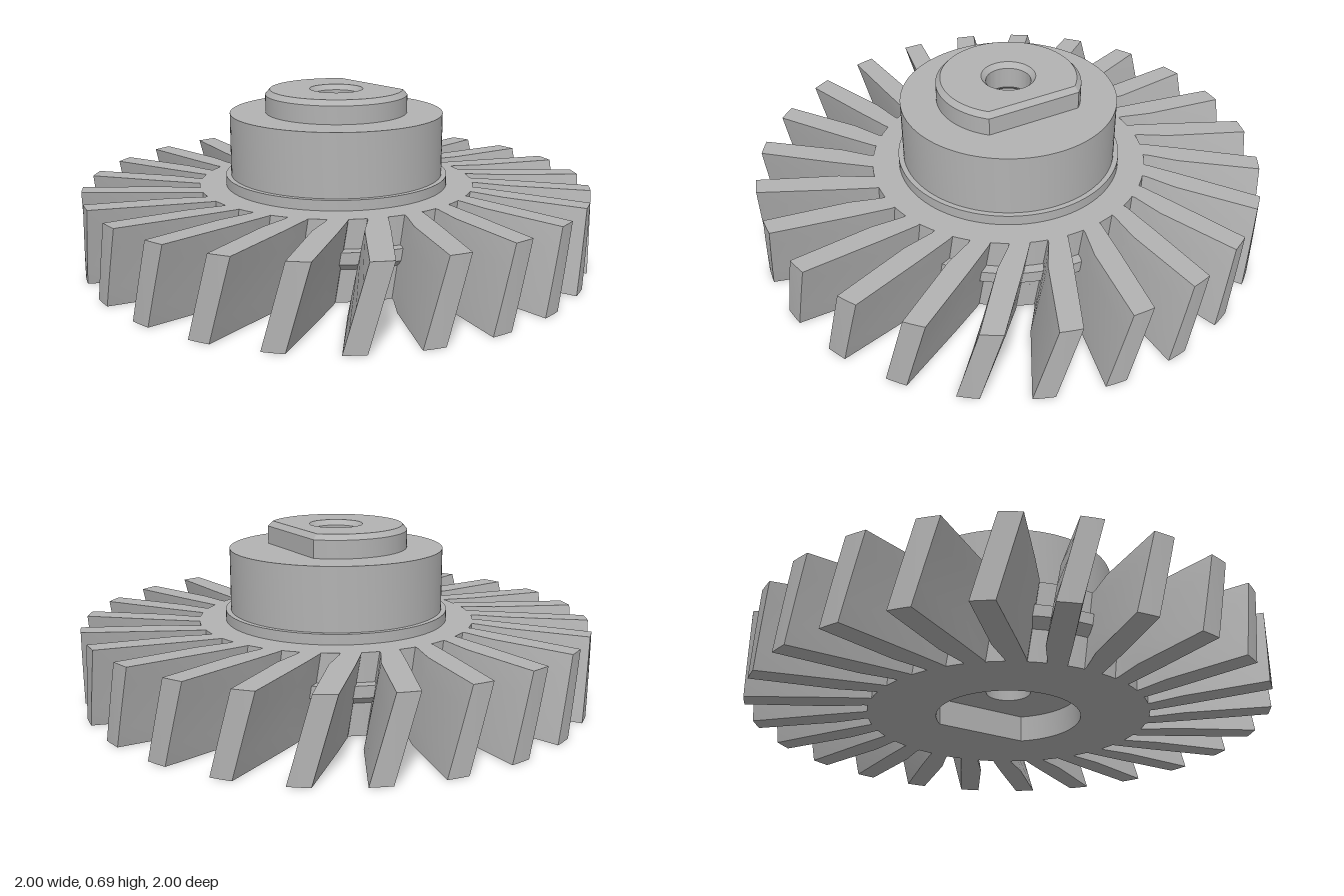
import * as THREE from 'three';
import { toCreasedNormals } from 'three/addons/utils/BufferGeometryUtils.js';

const DEG = Math.PI / 180;
const BLADES = 24;
const DISC_H = 0.31;      // height of disc and blades
const HUB_R = 0.545;      // radius where the blades start
const TWIST = 4.9 * DEG;  // lean of each blade from top to bottom

const grey = new THREE.MeshStandardMaterial({ color: 0xb2b2b2 });
grey.name = 'grey metal';

function part(name, geometry) {
  const mesh = new THREE.Mesh(toCreasedNormals(geometry, 0.5), grey);
  mesh.name = name;
  return mesh;
}

const lathe = (points) =>
  new THREE.LatheGeometry(points.map(([r, y]) => new THREE.Vector2(r, y)), 96);

// Extrude upward: shape +y becomes -z
const extrudeUp = (shape, options) =>
  new THREE.ExtrudeGeometry(shape, { curveSegments: 64, bevelEnabled: false, ...options })
    .rotateX(-Math.PI / 2);

// Circle with one flat on its back side
function flattedCircle(Type, r, flat) {
  const a = Math.asin(flat / r);
  const shape = new Type();
  shape.absarc(0, 0, r, Math.PI - a, Math.PI * 2 + a, false);
  shape.closePath();
  return shape;
}

function circle(Type, r) {
  const shape = new Type();
  shape.absarc(0, 0, r, 0, Math.PI * 2, false);
  return shape;
}

// Bent blade outline, as [radius, clockwise degrees], twisted over its height
function bladeGeometry() {
  const outline = [
    [0.535, -9.8], [0.56, -9.3], [0.7, -5.5], [1, -0.7], [1, 0.9],
    [1, 2.4], [1, 4], [0.68, 1.8], [0.56, -1.5], [0.535, -1.8],
  ].map(([r, a]) => new THREE.Vector2(r * Math.sin(a * DEG), r * Math.cos(a * DEG)));
  const geometry = new THREE.ExtrudeGeometry(new THREE.Shape(outline), {
    depth: DISC_H, steps: 4, bevelEnabled: false,
  });
  const p = geometry.attributes.position;
  for (let i = 0; i < p.count; i++) {
    const d = TWIST * (1 - p.getZ(i) / DISC_H);
    const x = p.getX(i), y = p.getY(i);
    p.setXY(i, x * Math.cos(d) + y * Math.sin(d), y * Math.cos(d) - x * Math.sin(d));
  }
  return geometry.rotateX(-Math.PI / 2);
}

export function createModel() {
  const model = new THREE.Group();
  model.name = 'bladedWheel';

  // Hub with bore, collar and stepped boss
  model.add(part('hub', lathe([
    [0.087, 0.575], [0.087, 0.105], [HUB_R, 0.105], [HUB_R, DISC_H],
    [0.44, DISC_H], [0.44, 0.35], [0.42, 0.35], [0.42, 0.595], [0.19, 0.595],
  ])));

  // Underside with a flatted socket
  const base = circle(THREE.Shape, HUB_R);
  base.holes.push(flattedCircle(THREE.Path, 0.28, 0.205));
  model.add(part('socketBase', extrudeUp(base, { depth: 0.105 })));

  // Flatted key on top, with chamfered rim and bore
  const key = flattedCircle(THREE.Shape, 0.28, 0.205);
  key.holes.push(circle(THREE.Path, 0.087));
  const keyMesh = part('driveKey', extrudeUp(key, {
    depth: 0.085, bevelEnabled: true, bevelSegments: 1,
    bevelSize: 0.018, bevelThickness: 0.02, bevelOffset: -0.018,
  }));
  keyMesh.position.y = 0.58;
  model.add(keyMesh);

  // Small rib joining the blade roots, sloped underneath
  model.add(part('rootRib', lathe([
    [0.54, 0.12], [0.585, 0.155], [0.585, 0.2], [0.54, 0.2],
  ])));

  // Blades
  const blades = new THREE.Group();
  blades.name = 'blades';
  const first = part('blade', bladeGeometry());
  for (let i = 0; i < BLADES; i++) {
    const blade = first.clone();
    blade.rotation.y = (i / BLADES) * Math.PI * 2;
    blades.add(blade);
  }
  model.add(blades);

  return model;
}
